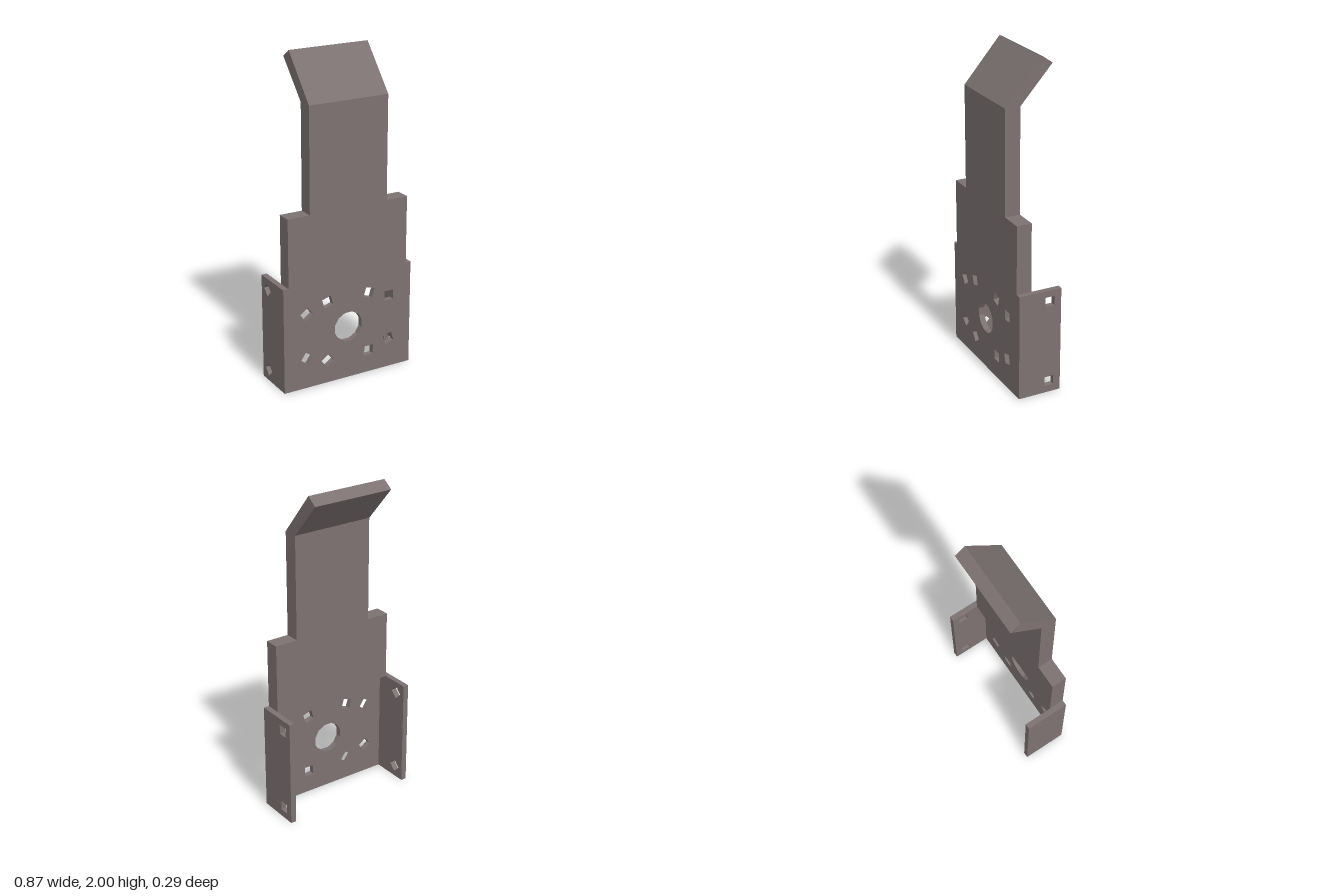
import * as THREE from 'three';

const FRONT = 0.146, BACK = 0.052;   // thick plate, z range
const SHEET = 0.035;                 // thin sheet of the lower bracket
const STEP = 0.665;                  // top of the lower bracket
const HALF = 0.437;                  // half width of the bracket

const material = new THREE.MeshStandardMaterial({ color: 0x7d7272, flatShading: true });

function polygon(points) {
  return new THREE.Shape(points.map(([x, y]) => new THREE.Vector2(x, y)));
}

function rect(x0, y0, x1, y1) {
  return polygon([[x0, y0], [x1, y0], [x1, y1], [x0, y1]]);
}

// regular hole with a few straight sides, turned by an angle in degrees
function addHole(shape, x, y, radius, sides, degrees) {
  const points = [];
  for (let i = 0; i < sides; i++) {
    const a = (i + 0.5) * 2 * Math.PI / sides + THREE.MathUtils.degToRad(degrees);
    points.push(new THREE.Vector2(x + radius * Math.cos(a), y + radius * Math.sin(a)));
  }
  shape.holes.push(new THREE.Path(points));
}

function extrude(shape, depth) {
  return new THREE.ExtrudeGeometry(shape, { depth, bevelEnabled: false });
}

// extrudes a (z, y) profile along x, from x0 to x1
function extrudeAcross(shape, x0, x1) {
  return extrude(shape, x1 - x0).rotateY(-Math.PI / 2).translate(x1, 0, 0);
}

export function createModel() {
  const group = new THREE.Group();
  const add = (name, geometry) => {
    const mesh = new THREE.Mesh(geometry, material);
    mesh.name = name;
    group.add(mesh);
  };

  // thin mounting plate: shaft hole and eight square screw holes
  const plate = rect(-HALF + SHEET, 0, HALF - SHEET, STEP);
  addHole(plate, 0, 0.335, 0.096, 12, 0);
  const screws = [
    [-0.285, 0.477, 35], [-0.143, 0.525, 17], [0.143, 0.525, -17], [0.283, 0.477, 0],
    [-0.285, 0.191, -35], [-0.143, 0.144, 37], [0.143, 0.144, 0], [0.283, 0.191, 17],
  ];
  for (const [x, y, turn] of screws) addHole(plate, x, y, 0.043, 4, turn);
  add('mountingPlate', extrude(plate, SHEET).translate(0, 0, FRONT - SHEET));

  // side flanges with two holes each
  for (const side of [1, -1]) {
    const flange = rect(-0.126, 0, FRONT, STEP);
    for (const y of [0.073, 0.595]) addHole(flange, -0.052, y, 0.042, 4, side > 0 ? 0 : 45);
    const x0 = side > 0 ? HALF - SHEET : -HALF;
    add(side > 0 ? 'leftFlange' : 'rightFlange', extrudeAcross(flange, x0, x0 + SHEET));
  }

  // wide, thick middle plate
  add('middlePlate', extrudeAcross(rect(BACK, STEP, FRONT, 1.09), -0.402, 0.402));

  // narrow arm with its top bent backwards
  const arm = polygon([
    [BACK, 1.09], [FRONT, 1.09], [FRONT, 1.732], [-0.083, 2], [-0.147, 1.955], [BACK, 1.732],
  ]);
  add('bentArm', extrudeAcross(arm, -0.259, 0.259));

  return group;
}
